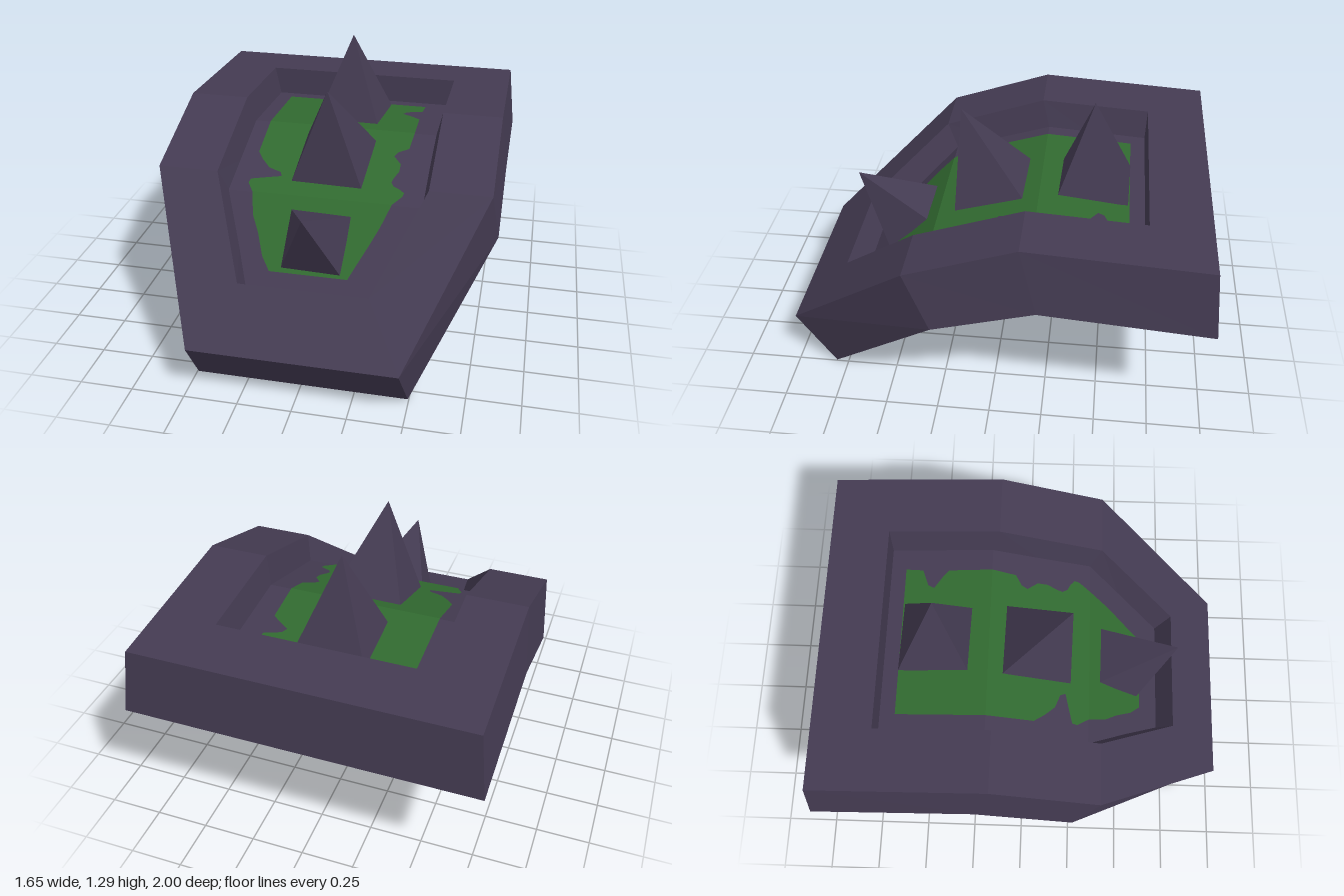
import * as THREE from 'three';

const stone = new THREE.MeshStandardMaterial({ color: 0x443b52 });
stone.name = 'dark stone';
const moss = new THREE.MeshStandardMaterial({ color: 0x316a30 });
moss.name = 'moss green';

// Stations run front to back, each [half width, y, z]
const outerTop = [[0.475, 0.26, 1], [0.79, 0.835, 0.37], [0.79, 1.01, -0.14], [0.79, 0.96, -0.97]];
const outerBottom = [[0.495, 0, 0.81], [0.825, 0.565, 0.25], [0.825, 0.7, -0.22], [0.825, 0.64, -1]];
const holeTop = [[0.3, 0.48, 0.76], [0.5, 0.835, 0.37], [0.5, 1.01, -0.14], [0.5, 0.977, -0.685]];
const holeBottom = [[0.25, 0.21, 0.6], [0.43, 0.565, 0.25], [0.43, 0.7, -0.22], [0.43, 0.661, -0.67]];

// Depth of the panel's two faces, as a fraction of the frame's thickness
const FLOOR = 0.45, UNDER = 0.69;

const mix = (a, b, t) => a.map((v, i) => v + (b[i] - v) * t);
const holeAt = (t) => holeTop.map((p, i) => mix(p, holeBottom[i], t));

// Flat-shaded mesh from a list of quads, each with four [x, y, z] corners
function quadMesh(name, quads, material) {
  const pos = quads.flatMap(([a, b, c, d]) => [a, b, c, a, c, d]).flat();
  const geo = new THREE.BufferGeometry();
  geo.setAttribute('position', new THREE.Float32BufferAttribute(pos, 3));
  geo.computeVertexNormals();
  const mesh = new THREE.Mesh(geo, material);
  mesh.name = name;
  return mesh;
}

// Strip of quads over rows of [leftPoint, rightPoint], running front to back
function strip(name, rows, material, faceDown) {
  const quads = rows.slice(1).map(([l1, r1], i) => {
    const [l0, r0] = rows[i];
    return faceDown ? [l0, l1, r1, r0] : [l0, r0, r1, l1];
  });
  return quadMesh(name, quads, material);
}

// Bent frame: four mirrored rings joined into a closed band
function makeFrame() {
  const rings = [outerTop, outerBottom, holeBottom, holeTop].map((side) => [
    ...side,
    ...side.map(([x, y, z]) => [-x, y, z]).reverse(),
  ]);
  const quads = [];
  rings.forEach((a, k) => {
    const b = rings[(k + 1) % rings.length];
    a.forEach((p, i) => {
      const j = (i + 1) % a.length;
      quads.push([p, b[i], b[j], a[j]]);
    });
  });
  return quadMesh('frame', quads, stone);
}

// Moss outline: [z, left x, right x], front to back
const mossRows = [
  [0.59, -0.2, 0.17], [0.54, -0.245, 0.2], [0.46, -0.285, 0.25], [0.4, -0.325, 0.285],
  [0.316, -0.35, 0.325], [0.26, -0.385, 0.365], [0.235, -0.38, 0.37], [0.215, -0.3, 0.345],
  [0.2, -0.235, 0.315], [0.175, -0.245, 0.3], [0.15, -0.31, 0.305], [0.1, -0.355, 0.325],
  [0.05, -0.39, 0.325], [0, -0.39, 0.285], [-0.03, -0.39, 0.3], [-0.06, -0.39, 0.35],
  [-0.176, -0.39, 0.36], [-0.39, -0.39, 0.355], [-0.42, -0.39, 0.32], [-0.46, -0.39, 0.26],
  [-0.49, -0.39, 0.275], [-0.52, -0.39, 0.355], [-0.605, -0.39, 0.36],
];

// Maps a z on the upper floor to [y, z] at depth t
function onPanel(z, t) {
  const ref = holeAt(FLOOR), at = holeAt(t);
  let i = 0;
  while (i < 2 && z < ref[i + 1][2]) i++;
  const f = (z - ref[i][2]) / (ref[i + 1][2] - ref[i][2]);
  return mix(at[i], at[i + 1], f).slice(1);
}

function makePatch(name, t, faceDown) {
  const rows = mossRows.map(([z, l, r]) => {
    const yz = onPanel(z, t);
    return [[l, ...yz], [r, ...yz]];
  });
  return strip(name, rows, moss, faceDown);
}

function makePanel(name, t, faceDown) {
  const rows = holeAt(t).map(([x, y, z]) => [[-x, y, z], [x, y, z]]);
  return strip(name, rows, stone, faceDown);
}

// Four-sided spike standing on the panel, leaning forward by tilt
function makeSpike(name, half, height, y, z, tilt) {
  const geo = new THREE.ConeGeometry(half * Math.SQRT2, height, 4)
    .rotateY(Math.PI / 4 - 0.025)
    .translate(0, height / 2, 0)
    .toNonIndexed();
  geo.computeVertexNormals();
  const mesh = new THREE.Mesh(geo, stone);
  mesh.name = name;
  mesh.position.set(-0.003, y, z);
  mesh.rotation.x = tilt;
  return mesh;
}

export function createModel() {
  const group = new THREE.Group();
  group.name = 'spikedPlate';
  group.add(
    makeFrame(),
    makePanel('panelTop', FLOOR, false),
    makePanel('panelUnderside', UNDER, true),
    makePatch('mossTop', FLOOR - 0.012, false),
    makePatch('mossUnderside', UNDER + 0.012, true),
    makeSpike('frontSpike', 0.143, 0.37, 0.565, 0.475, 0.81),
    makeSpike('middleSpike', 0.175, 0.45, 0.793, 0.065, 0.34),
    makeSpike('backSpike', 0.172, 0.445, 0.842, -0.43, 0.03),
  );
  return group;
}
